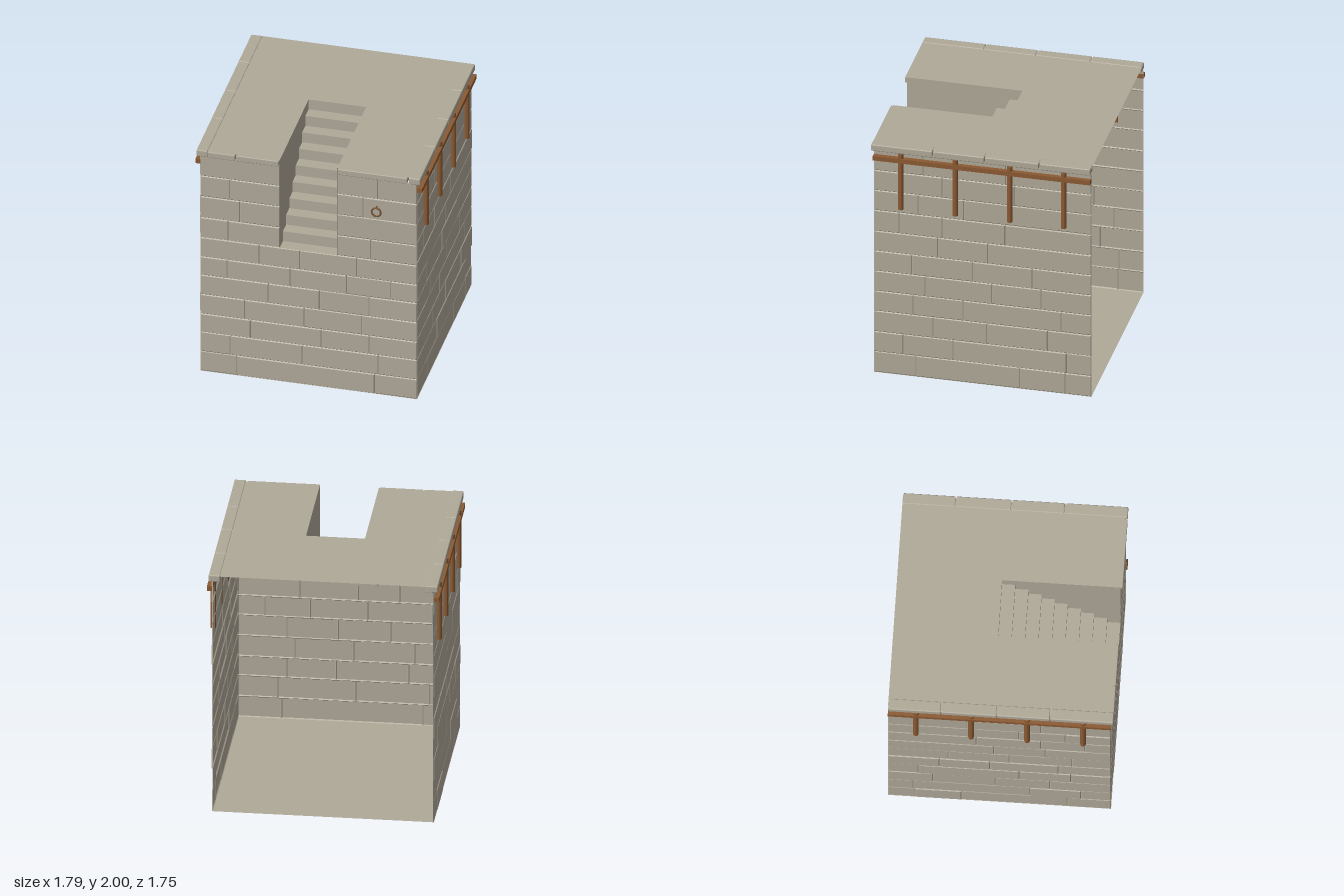
import * as THREE from 'three';
import { mergeGeometries } from 'three/addons/utils/BufferGeometryUtils.js';
import { RoundedBoxGeometry } from 'three/addons/geometries/RoundedBoxGeometry.js';

const material = (color) => new THREE.MeshStandardMaterial({ color, side: THREE.DoubleSide, flatShading: true });
const TOP = 1.995, BACK = -0.875, FRONT = 0.84, HALF = 0.857;
const SLOT = [-0.23, 0.225], SLOT_Y = 1.205, SLOT_BACK = -0.07;

// Row heights and the joints inside each row
const frontRows = [0, 0.175, 0.35, 0.515, 0.69, 0.865, 1.03, 1.205, 1.385, 1.575, 1.76, 1.95];
const frontJoints = [[-0.57, 0.52], [-0.62, -0.05, 0.55], [-0.46, 0.1, 0.48], [-0.505, -0.035, 0.42],
  [-0.32, 0.085, 0.48], [-0.645, -0.145, 0.3, 0.65], [-0.39, -0.07, 0.38], [-0.635, 0.49],
  [-0.545], [-0.625, 0.43], [0.545]];
const sideRows = [0, 0.18, 0.355, 0.535, 0.71, 0.885, 1.06, 1.235, 1.415, 1.59, 1.765, 1.95];
const sideJoints = [[0.505, -0.31, -0.67], [0.61, 0.215, -0.68], [0.37, -0.05, -0.53], [0.53, 0.135, -0.64],
  [0.435, -0.09, -0.48], [0.54, 0.06, -0.41], [0.335, -0.06], [0.64, 0.3, -0.195],
  [0.49, 0.13], [0.3, -0.27], [0.45, -0.2]];

let seed = 7;
function random() {
  seed = (seed * 16807) % 2147483647;
  return seed / 2147483647;
}

// Open bevelled brick face, facing +z
function brick(x0, x1, y0, y1, depth) {
  const b = 0.007, base = -0.004;
  const pos = [x0, y0, base, x1, y0, base, x1, y1, base, x0, y1, base,
    x0 + b, y0 + b, depth, x1 - b, y0 + b, depth, x1 - b, y1 - b, depth, x0 + b, y1 - b, depth];
  const index = [4, 5, 6, 4, 6, 7];
  for (let i = 0; i < 4; i++) {
    const j = (i + 1) % 4;
    index.push(i, j, j + 4, i, j + 4, i + 4);
  }
  const g = new THREE.BufferGeometry();
  g.setAttribute('position', new THREE.Float32BufferAttribute(pos, 3));
  g.setIndex(index);
  const flat = g.toNonIndexed();
  flat.computeVertexNormals();
  return flat;
}

// Wall of brick rows; spans(row) gives the stretches of wall in that row
function brickWall(rows, joints, spans) {
  const bricks = [];
  joints.forEach((row, r) => {
    for (const [a, b] of spans(r)) {
      const cuts = [a, ...row.filter((x) => x > a && x < b).sort((p, q) => p - q), b];
      for (let i = 0; i + 1 < cuts.length; i++) {
        bricks.push(brick(cuts[i], cuts[i + 1], rows[r], rows[r + 1], random() * 0.006));
      }
    }
  });
  return mergeGeometries(bricks);
}

export function createModel() {
  const model = new THREE.Group();
  const stone = material(0xb0a999), wood = material(0x8b5a33), iron = material(0x74502f);

  const add = (name, geometry, mat, parent = model) => {
    const mesh = new THREE.Mesh(geometry, mat);
    mesh.name = name;
    parent.add(mesh);
    return mesh;
  };
  const block = (name, x0, x1, y0, y1, z0, z1, mat, radius, parent) => {
    const size = [x1 - x0, y1 - y0, z1 - z0];
    const g = radius ? new RoundedBoxGeometry(...size, 2, radius) : new THREE.BoxGeometry(...size);
    add(name, g, mat, parent).position.set((x0 + x1) / 2, (y0 + y1) / 2, (z0 + z1) / 2);
  };

  // Floor
  const floor = add('floor', new THREE.PlaneGeometry(2 * HALF, FRONT - BACK), stone);
  floor.rotation.x = -Math.PI / 2;
  floor.position.z = (FRONT + BACK) / 2;

  // Front wall, open above the lowest tread
  const frontSpans = (r) => (r < 7 ? [[-HALF, HALF]] : [[-HALF, SLOT[0]], [SLOT[1], HALF]]);
  add('frontWall', brickWall(frontRows, frontJoints, frontSpans), stone).position.z = FRONT - 0.004;

  // Deck with the stair slot cut into its front edge
  const outline = [[-HALF, BACK], [HALF, BACK], [HALF, FRONT], [SLOT[1], FRONT], [SLOT[1], SLOT_BACK],
    [SLOT[0], SLOT_BACK], [SLOT[0], FRONT], [-HALF, FRONT]];
  const deckShape = new THREE.Shape(outline.map(([x, z]) => new THREE.Vector2(x, -z)));
  const deck = add('deck', new THREE.ShapeGeometry(deckShape), stone);
  deck.rotation.x = -Math.PI / 2;
  deck.position.y = TOP;

  // Stairs: a folded ribbon of treads and risers
  const steps = 9, run = (FRONT - SLOT_BACK) / steps, rise = (TOP - SLOT_Y) / steps;
  const profile = [new THREE.Vector2(FRONT, SLOT_Y)];
  for (let i = 1; i <= steps; i++) {
    profile.push(new THREE.Vector2(FRONT - i * run, SLOT_Y + (i - 1) * rise));
    profile.push(new THREE.Vector2(FRONT - i * run, SLOT_Y + i * rise));
  }
  const ribbon = [], faces = [];
  profile.forEach((p, i) => {
    ribbon.push(SLOT[0], p.y, p.x, SLOT[1], p.y, p.x);
    const k = 2 * i;
    if (i) faces.push(k - 2, k - 1, k + 1, k - 2, k + 1, k);
  });
  let stairs = new THREE.BufferGeometry();
  stairs.setAttribute('position', new THREE.Float32BufferAttribute(ribbon, 3));
  stairs.setIndex(faces);
  stairs = stairs.toNonIndexed();
  stairs.computeVertexNormals();
  add('stairs', stairs, stone);

  // Cheeks either side of the stairs
  const cheek = new THREE.ShapeGeometry(new THREE.Shape([...profile, new THREE.Vector2(FRONT, TOP)]));
  cheek.rotateY(-Math.PI / 2);
  SLOT.forEach((x) => { add('stairCheek', cheek, stone).position.x = x; });

  // Coping along the front edge
  for (const [x0, x1] of [[-0.798, -0.58], [-0.572, -0.235], [0.23, 0.782]]) {
    block('frontCoping', x0, x1, 1.945, 1.994, 0.79, 0.858, stone, 0.006);
  }

  // Each side: brick wall, coping stones, rail and fender posts
  for (const side of [1, -1]) {
    const half = new THREE.Group();
    half.name = side > 0 ? 'leftSide' : 'rightSide';
    model.add(half);

    const ends = side > 0 ? [-FRONT, -BACK] : [BACK, FRONT];
    const joints = sideJoints.map((row) => row.map((z) => -side * z));
    const wall = add('sideWall', brickWall(sideRows, joints, () => [ends]), stone, half);
    wall.rotation.y = side * Math.PI / 2;
    wall.position.x = side * (HALF - 0.002);

    const strip = (name, a, b, ...rest) =>
      block(name, Math.min(side * a, side * b), Math.max(side * a, side * b), ...rest, half);
    const cuts = [BACK, -0.467, -0.037, 0.372, 0.86];
    for (let i = 0; i < 4; i++) {
      strip('sideCoping', 0.797, 0.885, 1.945, 2, cuts[i] + 0.003, cuts[i + 1] - 0.003, stone, 0.008);
    }
    strip('rail', 0.856, 0.897, 1.87, 1.907, BACK, FRONT, wood, 0);
    for (const z of [0.625, 0.195, -0.235, -0.66]) {
      add('fenderPost', new THREE.CylinderGeometry(0.022, 0.022, 0.485, 10), wood, half)
        .position.set(side * 0.873, 1.7025, z);
    }
  }

  // Mooring ring hanging from a staple
  const ring = new THREE.Group();
  ring.name = 'mooringRing';
  ring.position.set(0.54, 1.66, 0.868);
  model.add(ring);
  add('ring', new THREE.TorusGeometry(0.036, 0.007, 8, 24), iron, ring);
  const staple = add('staple', new THREE.CylinderGeometry(0.007, 0.007, 0.034, 8), iron, ring);
  staple.rotation.x = Math.PI / 2;
  staple.position.set(0, 0.036, -0.014);

  return model;
}
